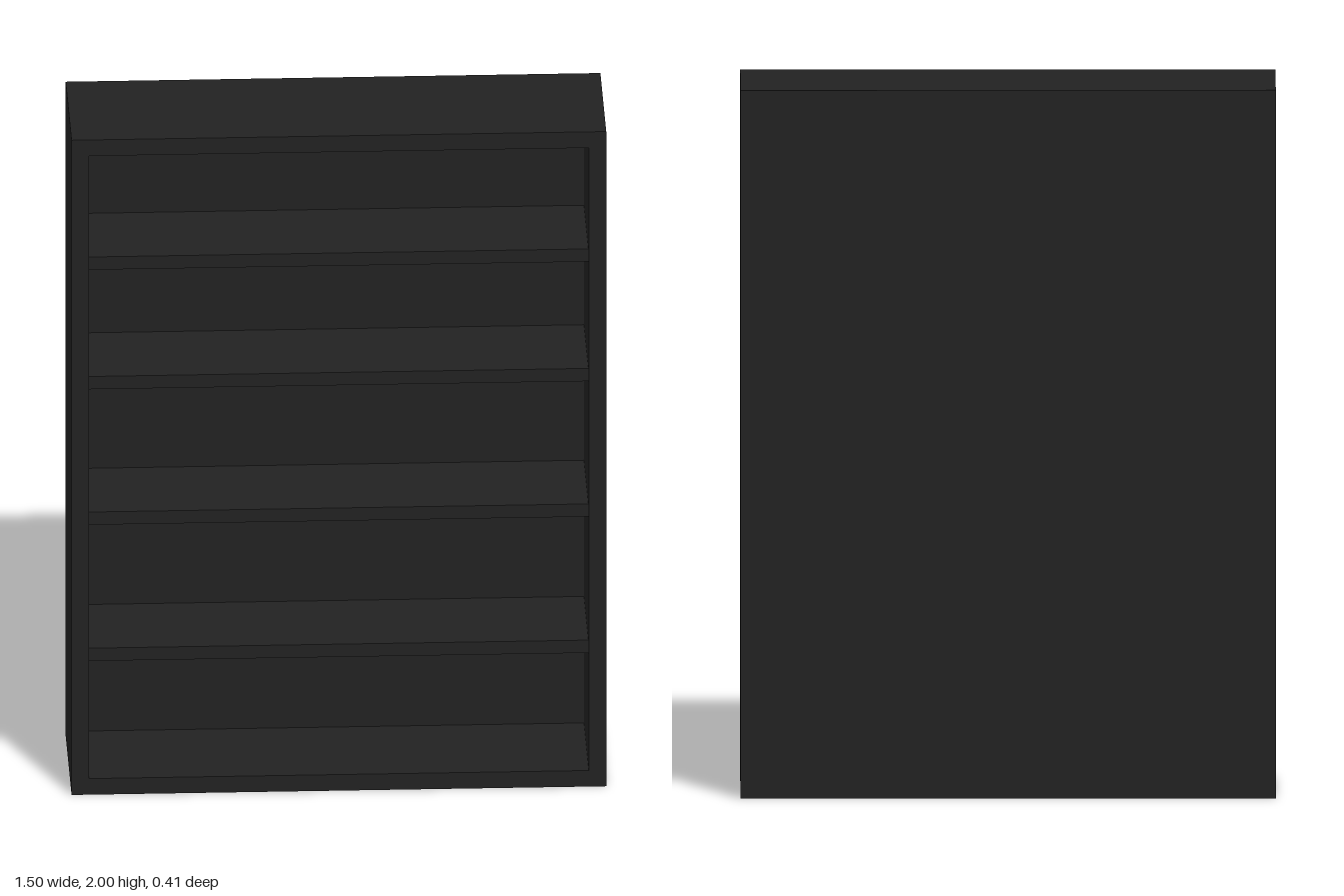
import * as THREE from 'three';

const HALF_W = 0.748, HEIGHT = 2, HALF_D = 0.203;
const WALL = 0.049;        // thickness of sides, top and bottom
const BACK_Z = -0.127;     // inner face of the back
const SHELF_FRONT = 0.176; // shelves sit slightly behind the frame

// Outline of a rectangle, used for the frame and its opening
function rectangle(Type, x, y0, y1) {
  const r = new Type();
  r.moveTo(-x, y0);
  r.lineTo(x, y0);
  r.lineTo(x, y1);
  r.lineTo(-x, y1);
  r.closePath();
  return r;
}

export function createModel() {
  const bookcase = new THREE.Group();
  bookcase.name = 'bookcase';
  const black = new THREE.MeshStandardMaterial({ color: 0x222222 });
  black.name = 'black';

  const add = (name, geometry, x, y, z) => {
    const mesh = new THREE.Mesh(geometry, black);
    mesh.name = name;
    mesh.position.set(x, y, z);
    bookcase.add(mesh);
  };

  // Outer frame: sides, top and bottom in one piece
  const outline = rectangle(THREE.Shape, HALF_W, 0, HEIGHT);
  outline.holes.push(rectangle(THREE.Path, HALF_W - WALL, WALL, HEIGHT - WALL));
  const frame = new THREE.ExtrudeGeometry(outline, { depth: HALF_D - BACK_Z, bevelEnabled: false });
  add('frame', frame, 0, 0, BACK_Z);

  // Solid back
  const backDepth = BACK_Z + HALF_D;
  add('backPanel', new THREE.BoxGeometry(2 * HALF_W, HEIGHT, backDepth), 0, HEIGHT / 2, -HALF_D + backDepth / 2);

  // Four shelves, by the height of their middle
  const shelf = new THREE.BoxGeometry(2 * (HALF_W - WALL), 0.039, SHELF_FRONT - BACK_Z);
  [0.416, 0.832, 1.246, 1.611].forEach((y, i) => {
    add(`shelf${i + 1}`, shelf, 0, y, (SHELF_FRONT + BACK_Z) / 2);
  });

  return bookcase;
}
